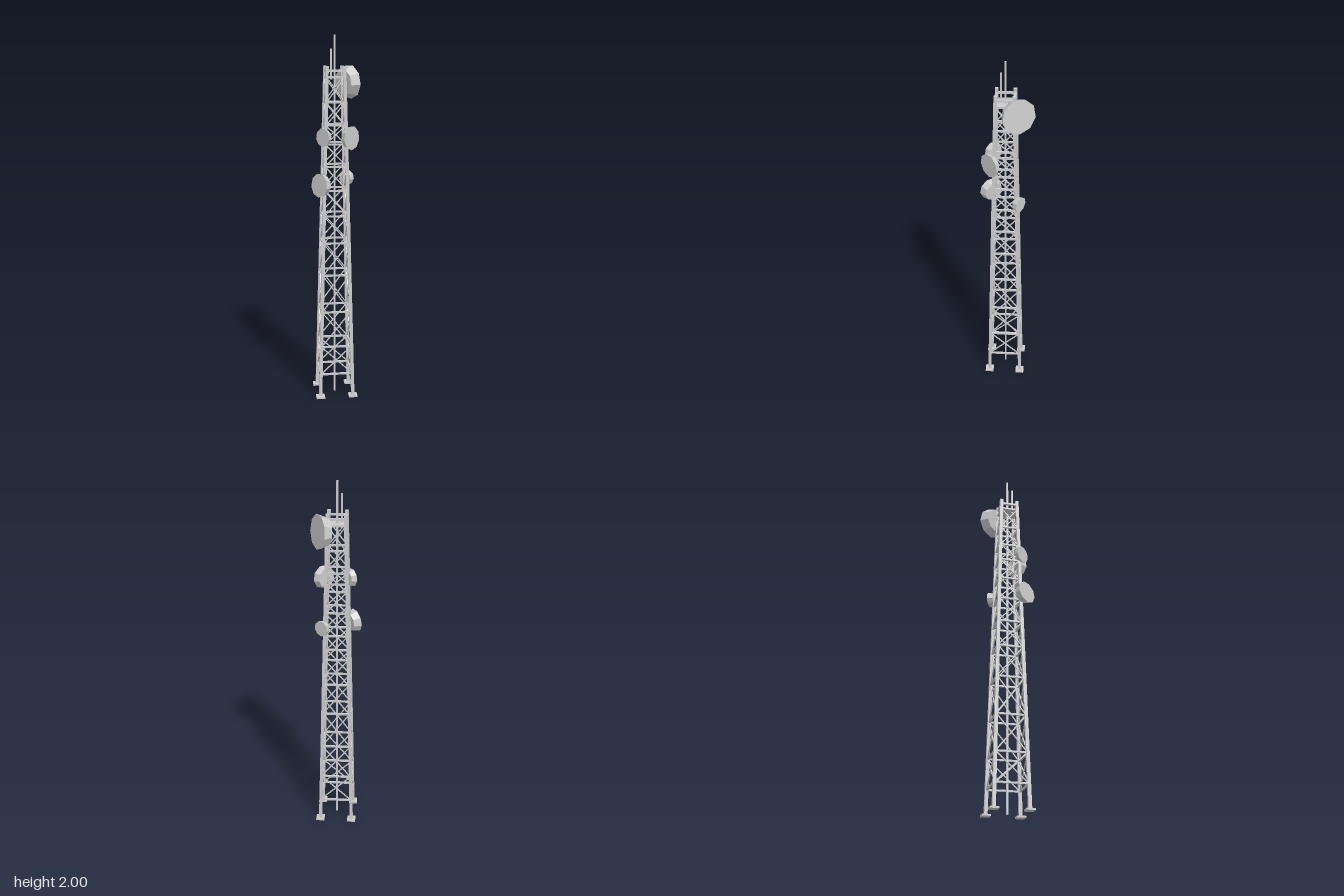
import * as THREE from 'three';

const material = new THREE.MeshStandardMaterial({ color: 0xcccccc, flatShading: true });
const UP = new THREE.Vector3(0, 1, 0);
const TOP = 1.84;

function add(parent, geometry, name) {
  const mesh = new THREE.Mesh(geometry, material);
  mesh.name = name;
  parent.add(mesh);
  return mesh;
}

// Square bar running between two points
function bar(parent, a, b, width, name) {
  const dir = b.clone().sub(a);
  const mesh = add(parent, new THREE.BoxGeometry(width, dir.length(), width), name);
  mesh.position.copy(a).add(b).multiplyScalar(0.5);
  mesh.quaternion.setFromUnitVectors(UP, dir.normalize());
  return mesh;
}

// Leg centre at height y for corner i (the tower tapers upwards)
function corner(i, y) {
  const half = 0.092 - 0.046 * (y / TOP);
  const sx = [1, 1, -1, -1][i % 4], sz = [1, -1, -1, 1][i % 4];
  return new THREE.Vector3(sx * half, y, sz * half);
}

// Drum antenna: wide flat front, tapering towards the tower
function dish(parent, center, normal, radius, depth, tilt, name) {
  const geometry = new THREE.CylinderGeometry(radius, radius * 0.8, depth, 9);
  geometry.rotateX(Math.PI / 2).translate(0, 0, -depth / 2);
  const mesh = add(parent, geometry, name);
  mesh.position.set(...center);
  const [nx, nz] = normal;
  const dir = new THREE.Vector3(nx, 0, nz).normalize().setY(tilt);
  mesh.lookAt(mesh.position.clone().add(dir));
}

export function createModel() {
  const model = new THREE.Group();
  model.name = 'latticeTower';
  const tower = new THREE.Group();
  tower.name = 'tower';
  tower.position.set(-0.005, 0, 0.003);
  model.add(tower);

  // Legs and foot plates
  for (let i = 0; i < 4; i++) {
    bar(tower, corner(i, 0.004), corner(i, TOP), 0.018, 'leg');
    const foot = add(tower, new THREE.BoxGeometry(0.048, 0.01, 0.048), 'footPlate');
    foot.position.copy(corner(i, 0.009));
  }

  // Horizontal rails and crossed braces on all four faces
  const levels = [0.14, 0.30, 0.50, 0.71, 0.89, 1.04, 1.18, 1.31, 1.43, 1.53, 1.65, 1.78];
  for (let i = 0; i < 4; i++) {
    levels.forEach((y, k) => {
      bar(tower, corner(i, y), corner(i + 1, y), 0.01, 'rail');
      const next = levels[k + 1];
      if (!next) return;
      bar(tower, corner(i, y), corner(i + 1, next), 0.006, 'brace');
      bar(tower, corner(i + 1, y), corner(i, next), 0.006, 'brace');
    });
    bar(tower, corner(i, 1.815), corner(i + 1, 1.815), 0.011, 'topRail');
  }

  // Top platform
  const platform = add(tower, new THREE.BoxGeometry(0.09, 0.005, 0.09), 'platform');
  platform.position.y = 1.778;

  // Central mast and short whip antenna
  bar(tower, new THREE.Vector3(0, 0, 0), new THREE.Vector3(0, 2, 0), 0.01, 'mast');
  bar(tower, new THREE.Vector3(-0.023, 1.77, 0.024), new THREE.Vector3(-0.023, 1.93, 0.024), 0.009, 'whipAntenna');

  // Drum antennas on the legs
  dish(model, [0.089, 1.755, -0.07], [0.87, -0.49], 0.092, 0.049, 0.08, 'largeDish');
  dish(model, [0.077, 1.465, 0.084], [0.69, 0.72], 0.065, 0.03, 0, 'frontLeftDish');
  dish(model, [-0.078, 1.468, 0.075], [-0.78, 0.62], 0.05, 0.028, 0, 'upperFrontRightDish');
  dish(model, [-0.1, 1.215, 0.092], [-0.83, 0.56], 0.065, 0.04, 0.08, 'lowerFrontRightDish');
  dish(model, [0.075, 1.23, -0.082], [0.55, -0.83], 0.043, 0.03, 0, 'smallBackDish');

  return model;
}
